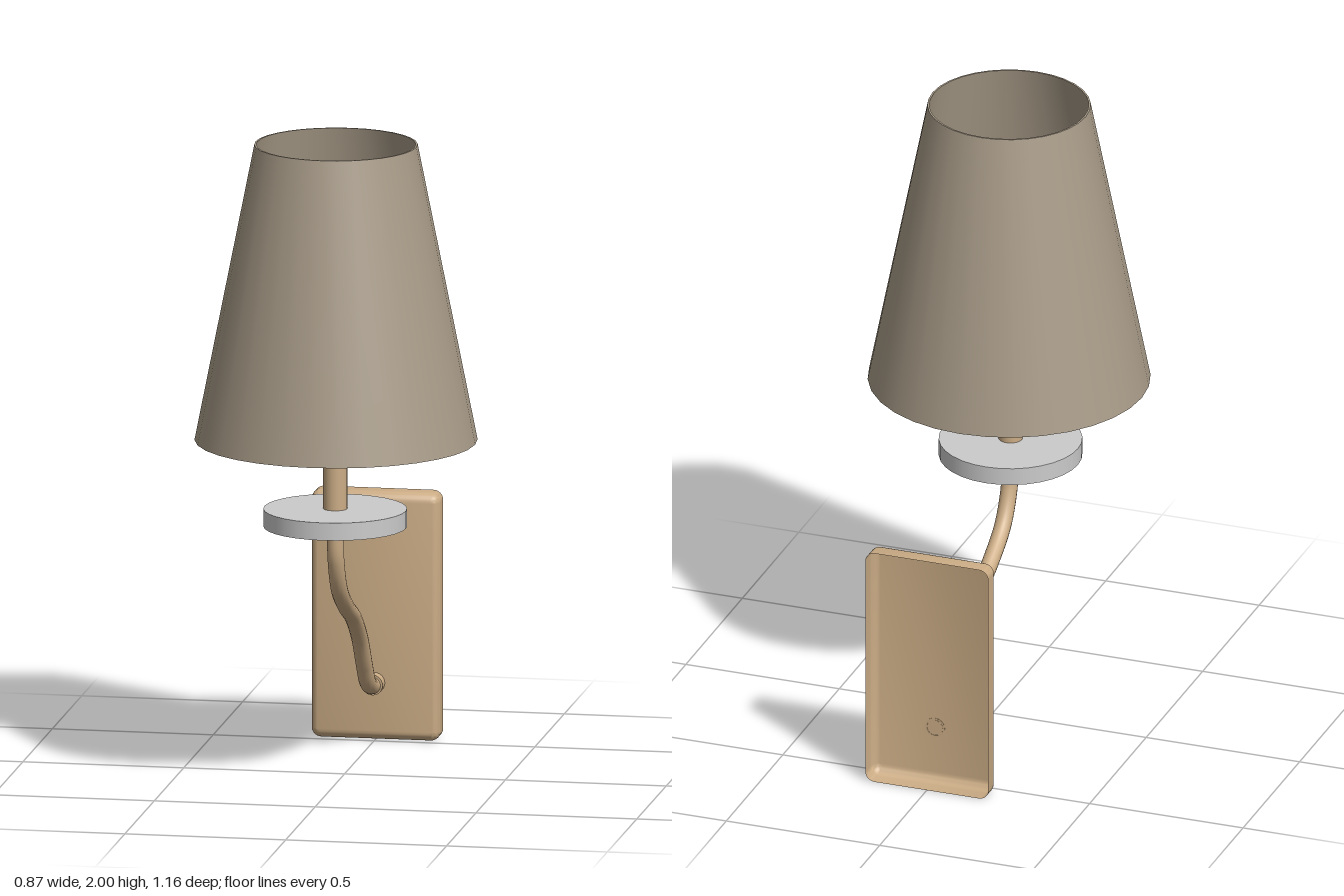
import * as THREE from 'three';
import { toCreasedNormals } from 'three/addons/utils/BufferGeometryUtils.js';

const AXIS_Z = 0.158; // vertical axis of the lamp holder
const material = (color) => new THREE.MeshStandardMaterial({ color, side: THREE.DoubleSide });

function addMesh(group, name, geometry, mat, x = 0, y = 0, z = 0) {
  const mesh = new THREE.Mesh(geometry, mat);
  mesh.name = name;
  mesh.position.set(x, y, z);
  group.add(mesh);
  return mesh;
}

// Turned part from [radius, y] pairs, with sharp corners kept sharp
function turned(points, segments = 32) {
  const profile = points.map(([r, y]) => new THREE.Vector2(r, y));
  return toCreasedNormals(new THREE.LatheGeometry(profile, segments), 0.7);
}

// Open-backed tray with rounded corners and a rounded front edge
function trayGeometry(halfW, halfH, depth, radius) {
  const steps = 6;
  const rings = [[0, 0], [depth - radius, 0]];
  for (let i = 1; i <= steps; i++) {
    const a = (i / steps) * Math.PI / 2;
    rings.push([depth - radius + radius * Math.sin(a), radius * (1 - Math.cos(a))]);
  }
  const corners = [[1, 1], [-1, 1], [-1, -1], [1, -1]];
  const count = corners.length * (steps + 1);
  const positions = [];
  const index = [];
  for (const [z, inset] of rings) {
    const r = radius - inset;
    corners.forEach(([sx, sy], c) => {
      for (let i = 0; i <= steps; i++) {
        const a = (c + i / steps) * Math.PI / 2;
        positions.push(sx * (halfW - radius) + r * Math.cos(a), sy * (halfH - radius) + r * Math.sin(a), z);
      }
    });
  }
  for (let k = 0; k < rings.length - 1; k++) {
    for (let i = 0; i < count; i++) {
      const j = (i + 1) % count;
      const a = k * count + i, b = k * count + j;
      index.push(a, b, b + count, a, b + count, a + count);
    }
  }
  // Front face
  const last = (rings.length - 1) * count;
  const centre = positions.length / 3;
  positions.push(0, 0, depth);
  for (let i = 0; i < count; i++) index.push(centre, last + i, last + ((i + 1) % count));
  const geometry = new THREE.BufferGeometry();
  geometry.setAttribute('position', new THREE.Float32BufferAttribute(positions, 3));
  geometry.setIndex(index);
  return toCreasedNormals(geometry, 0.6);
}

export function createModel() {
  const model = new THREE.Group();
  model.name = 'wallLamp';
  const metal = material(0xccad86);
  const fabric = material(0xa89b88);
  const grey = material(0xcccccc);
  const glass = material(0xcdc49c);

  // Wall plate and the collar that takes the arm
  addMesh(model, 'wallPlate', trayGeometry(0.2, 0.387, 0.073, 0.03), metal, 0, 0.39, -0.583);
  const collar = addMesh(model, 'plateCollar', new THREE.CylinderGeometry(0.032, 0.032, 0.04, 24), metal, 0, 0.183, -0.491);
  collar.rotation.x = Math.PI / 2;

  // S-shaped arm as [z, y] points
  const path = [[-0.512, 0.183], [-0.46, 0.183], [-0.39, 0.212], [-0.336, 0.275], [-0.257, 0.376],
    [-0.15, 0.46], [-0.02, 0.524], [0.09, 0.6], [0.145, 0.7], [AXIS_Z, 0.8]];
  const curve = new THREE.CatmullRomCurve3(path.map(([z, y]) => new THREE.Vector3(0, y, z)));
  addMesh(model, 'arm', new THREE.TubeGeometry(curve, 64, 0.026, 16), metal);

  // Lamp holder stacked on the end of the arm
  addMesh(model, 'armCollar', new THREE.CylinderGeometry(0.052, 0.052, 0.032, 24), metal, 0, 0.796, AXIS_Z);
  addMesh(model, 'dripTray', new THREE.CylinderGeometry(0.22, 0.22, 0.055, 32), grey, 0, 0.8375, AXIS_Z);
  addMesh(model, 'stem', new THREE.CylinderGeometry(0.037, 0.037, 0.15, 24), metal, 0, 0.938, AXIS_Z);
  addMesh(model, 'socket', turned([[0, 1.01], [0.055, 1.01], [0.066, 1.016], [0.077, 1.035], [0.085, 1.062],
    [0.089, 1.1], [0.09, 1.33], [0, 1.33]]), metal, 0, 0, AXIS_Z);

  // Candle bulb with a pointed tip
  addMesh(model, 'bulb', turned([[0.065, 1.32], [0.085, 1.36], [0.11, 1.41], [0.121, 1.46], [0.118, 1.51],
    [0.1, 1.57], [0.072, 1.63], [0.042, 1.68], [0.016, 1.72], [0, 1.735]]), glass, 0, 0, AXIS_Z);

  // Tapered shade, open at both ends
  addMesh(model, 'shade', turned([[0.427, 1.078], [0.433, 1.078], [0.25, 2], [0.244, 2], [0.427, 1.078]]),
    fabric, 0, 0, 0.145);

  return model;
}
